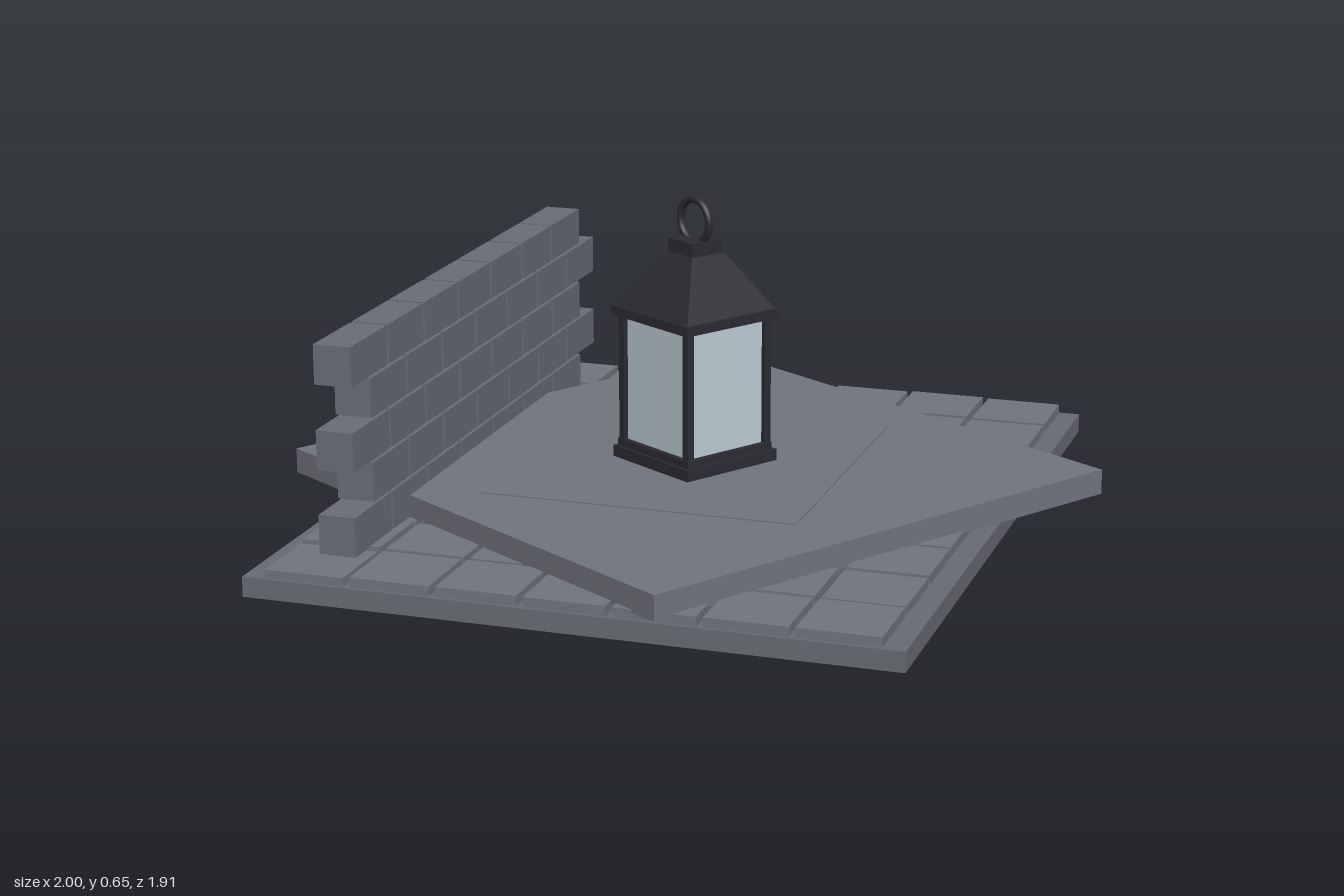
import * as THREE from 'three';

const mat = (name, color) => {
  const m = new THREE.MeshStandardMaterial({ color });
  m.name = name;
  return m;
};

export function createModel() {
  const stone = mat('stone', 0x70747c);
  const brickStone = mat('brick stone', 0x696d74);
  const slabStone = mat('slab stone', 0x686b72);
  const iron = mat('black iron', 0x2b2b33);
  const glass = mat('pale glass', 0xbccbd3);
  const wood = mat('wood', 0x8a6340);

  const root = new THREE.Group();
  root.name = 'lanternCourtyard';

  const add = (parent, name, geo, material, x = 0, y = 0, z = 0) => {
    const m = new THREE.Mesh(geo, material);
    m.name = name;
    m.position.set(x, y, z);
    parent.add(m);
    return m;
  };
  // Box given by its bottom and top heights
  const box = (parent, name, w, d, y0, y1, material, x = 0, z = 0) =>
    add(parent, name, new THREE.BoxGeometry(w, y1 - y0, d), material, x, (y0 + y1) / 2, z);

  let seed = 7;
  const rand = () => (seed = (seed * 16807) % 2147483647) / 2147483647;

  // Turned courtyard: slab, paving and wall share one angle
  const court = new THREE.Group();
  court.name = 'courtyard';
  court.rotation.y = 0.56;
  root.add(court);
  box(court, 'baseSlab', 1.552, 1.283, 0, 0.04, slabStone);

  // Paving tiles
  const pitch = 0.1725;
  for (let r = 0; r < 7; r++) {
    for (let c = 0; c < 9; c++) {
      box(court, 'pavingTile', 0.16, 0.16, 0.038, 0.057 + rand() * 0.005, stone,
        (c - 4) * pitch, (r - 3) * pitch);
    }
  }

  // Brick wall along the back, alternate courses shifted half a brick
  for (let r = 0; r < 5; r++) {
    const shift = r % 2 ? 0.045 : -0.045;
    const y = 0.06 + r * 0.0835;
    for (let c = 0; c < 7; c++) {
      box(court, 'wallBrick', 0.17, 0.075, y, y + 0.078, brickStone,
        (c - 3) * 0.178 + shift, -0.495);
    }
  }

  // Square platform with a thin turned inlay
  box(root, 'platform', 1.166, 1.166, 0.053, 0.104, stone);
  const inlay = box(root, 'platformInlay', 0.694, 0.644, 0.1, 0.1065, stone, -0.003, -0.005);
  inlay.rotation.y = 0.56;

  // Stack of planks
  const stack = new THREE.Group();
  stack.name = 'plankStack';
  stack.position.set(0.318, 0, -0.36);
  stack.rotation.y = 0.56;
  root.add(stack);
  for (let i = 0; i < 4; i++) {
    const y = 0.104 + i * 0.0255;
    box(stack, 'plank', 0.162, i % 2 ? 0.162 : 0.154, y, y + 0.023, wood);
  }
  box(stack, 'stackCore', 0.15, 0.145, 0.104, 0.2, wood);

  // Lantern
  const lantern = new THREE.Group();
  lantern.name = 'lantern';
  root.add(lantern);
  box(lantern, 'lanternFoot', 0.236, 0.236, 0.104, 0.13, iron);
  box(lantern, 'lanternSill', 0.222, 0.222, 0.13, 0.145, iron);
  box(lantern, 'lanternGlass', 0.198, 0.198, 0.145, 0.408, glass);
  for (const sx of [-1, 1]) {
    for (const sz of [-1, 1]) {
      box(lantern, 'lanternPost', 0.016, 0.016, 0.145, 0.408, iron, sx * 0.101, sz * 0.101);
    }
  }
  box(lantern, 'lanternEave', 0.24, 0.24, 0.405, 0.425, iron);

  // Four-sided tapering roof
  const roof = new THREE.CylinderGeometry(0.042 * Math.SQRT2, 0.114 * Math.SQRT2, 0.113, 4, 1)
    .rotateY(Math.PI / 4).toNonIndexed();
  roof.computeVertexNormals();
  add(lantern, 'lanternRoof', roof, iron, 0, 0.4815);
  box(lantern, 'lanternCap', 0.076, 0.076, 0.538, 0.566, iron);
  const ring = add(lantern, 'carryRing', new THREE.TorusGeometry(0.044, 0.008, 10, 28), iron, 0, 0.602, 0);
  ring.rotation.y = Math.PI / 2;

  return root;
}
